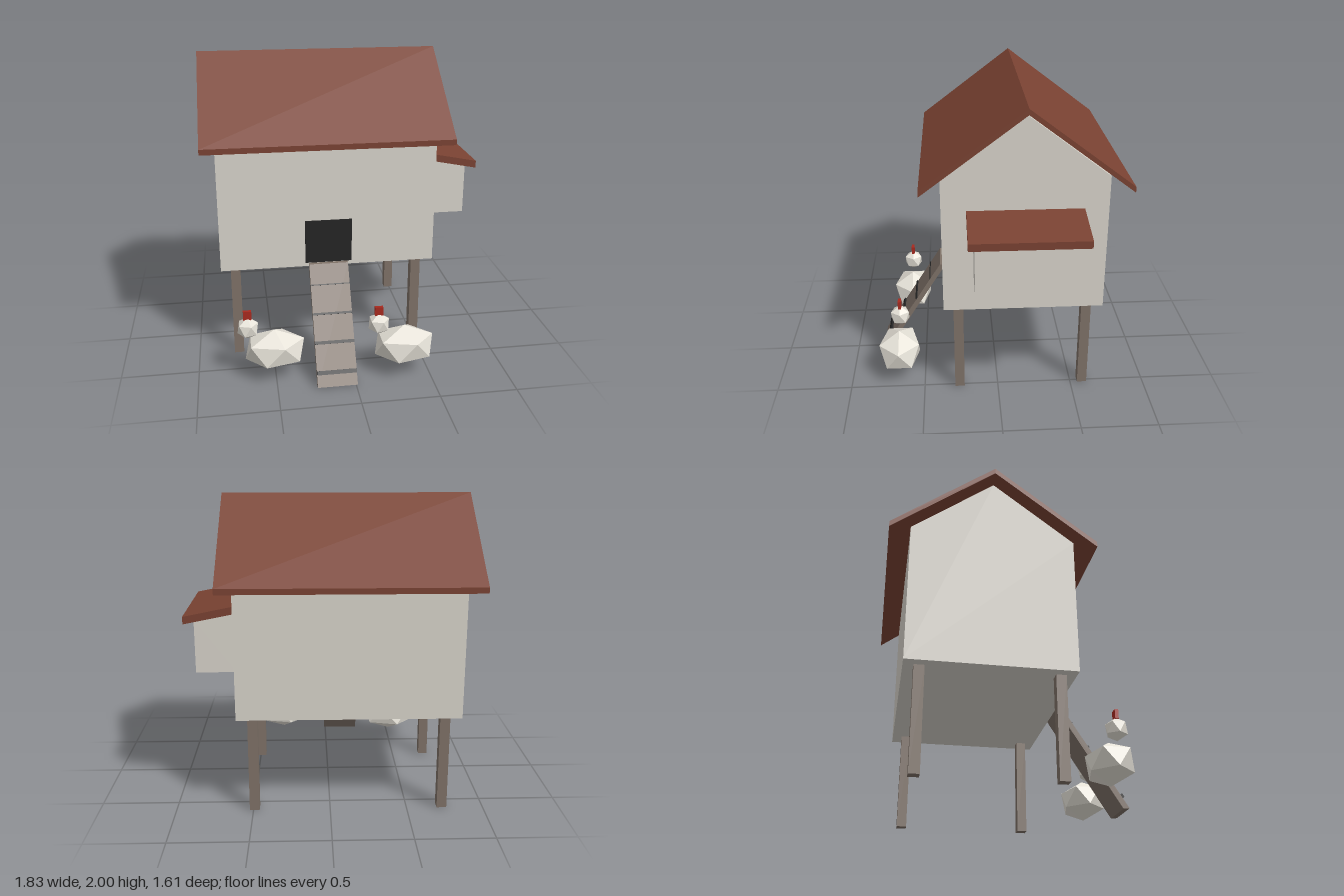
import * as THREE from 'three';
import { ConvexGeometry } from 'three/addons/geometries/ConvexGeometry.js';

const paint = (name, color) => {
  const m = new THREE.MeshStandardMaterial({ color });
  m.name = name;
  return m;
};

export function createModel() {
  const wall = paint('wall paint', 0xd8d4cb);
  const roofRed = paint('roof red', 0x7a4232);
  const wood = paint('weathered wood', 0x7f7268);
  const dark = paint('dark', 0x252525);
  const feather = paint('feather', 0xe6e2d8);
  const combRed = paint('comb red', 0xa92a1f);

  const model = new THREE.Group();
  model.name = 'chickenCoop';

  const add = (name, geometry, material, parent = model) => {
    const mesh = new THREE.Mesh(geometry, material);
    mesh.name = name;
    parent.add(mesh);
    return mesh;
  };
  // Box given by its limits on each axis
  const box = (name, [x0, x1], [y0, y1], [z0, z1], material, parent) => {
    const g = new THREE.BoxGeometry(x1 - x0, y1 - y0, z1 - z0);
    g.translate((x0 + x1) / 2, (y0 + y1) / 2, (z0 + z1) / 2);
    return add(name, g, material, parent);
  };
  const extrude = (points, depth) => new THREE.ExtrudeGeometry(
    new THREE.Shape(points.map(([a, b]) => new THREE.Vector2(a, b))),
    { depth, bevelEnabled: false });
  // Side profile of [z, y] points, drawn out from x0 to x1
  const alongX = (name, profile, x0, x1, material) => {
    const g = extrude(profile.map(([z, y]) => [-z, y]), x1 - x0);
    g.rotateY(Math.PI / 2).translate(x0, 0, 0);
    return add(name, g, material);
  };
  // Front profile of [x, y] points, drawn out from z0 to z1
  const alongZ = (name, profile, z0, z1, material) =>
    add(name, extrude(profile, z1 - z0).translate(0, 0, z0), material);

  // House with gabled ends
  alongX('house', [[0.355, 0.65], [0.355, 1.55], [-0.16, 1.94], [-0.675, 1.55], [-0.675, 0.65]],
    -0.825, 0.59, wall);

  // Roof sheets
  alongX('roof', [[0.483, 1.477], [0.483, 1.513], [-0.162, 2], [-0.807, 1.513], [-0.807, 1.477], [-0.162, 1.963]],
    -0.915, 0.68, roofRed);

  // Nest box on the side, with sloping lid
  alongZ('nestBox', [[0.59, 0.905], [0.848, 0.905], [0.848, 1.25], [0.59, 1.3]], -0.485, 0.16, wall);
  alongZ('nestLid', [[0.585, 1.296], [0.911, 1.231], [0.911, 1.279], [0.585, 1.344]], -0.525, 0.2, roofRed);

  // Doorway
  box('door', [-0.27, 0.038], [0.675, 0.97], [0.353, 0.36], dark);

  // Legs
  for (const x of [-0.73, 0.492]) {
    for (const z of [0.26, -0.58]) {
      box('leg', [x - 0.032, x + 0.032], [0, 0.65], [z - 0.032, z + 0.032], wood);
    }
  }

  // Ramp and its treads
  alongX('ramp', [[0.765, 0], [0.805, 0.004], [0.382, 0.672], [0.356, 0.672], [0.356, 0.648]],
    -0.248, 0.01, wood);
  const slope = Math.atan2(0.668, 0.423);
  [[0.08, 0.026], [0.24, 0.02], [0.396, 0.014], [0.556, 0.007]].forEach(([y, size]) => {
    const tread = add('rampTread', new THREE.BoxGeometry(0.256, size, size * 1.2), dark);
    tread.position.set(-0.119, y, 0.805 - (y - 0.004) * 0.633);
    tread.rotation.x = slope - Math.PI / 2;
  });

  // Faceted ball with one corner on top and one at the bottom
  const ballPoints = [new THREE.Vector3(0, 1, 0), new THREE.Vector3(0, -1, 0)];
  for (let i = 0; i < 5; i++) {
    const a = (i * Math.PI * 2) / 5;
    const c = 0.894 * Math.cos(a), s = 0.894 * Math.sin(a);
    ballPoints.push(new THREE.Vector3(c, 0.447, s), new THREE.Vector3(-c, -0.447, s));
  }
  const ball = (rx, ry, rz) => new ConvexGeometry(
    ballPoints.map((p) => p.clone().multiply(new THREE.Vector3(rx, ry, rz))));

  // Hens
  for (const [x, z] of [[-0.503, 0.606], [0.334, 0.67]]) {
    const hen = new THREE.Group();
    hen.name = 'hen';
    hen.position.set(x, 0, z);
    model.add(hen);
    add('henBody', ball(0.213, 0.138, 0.159), feather, hen).position.y = 0.198;
    add('henHead', ball(0.074, 0.074, 0.074), feather, hen).position.set(-0.168, 0.361, 0);
    box('henComb', [-0.195, -0.142], [0.42, 0.48], [-0.011, 0.011], combRed, hen);
  }

  return model;
}
